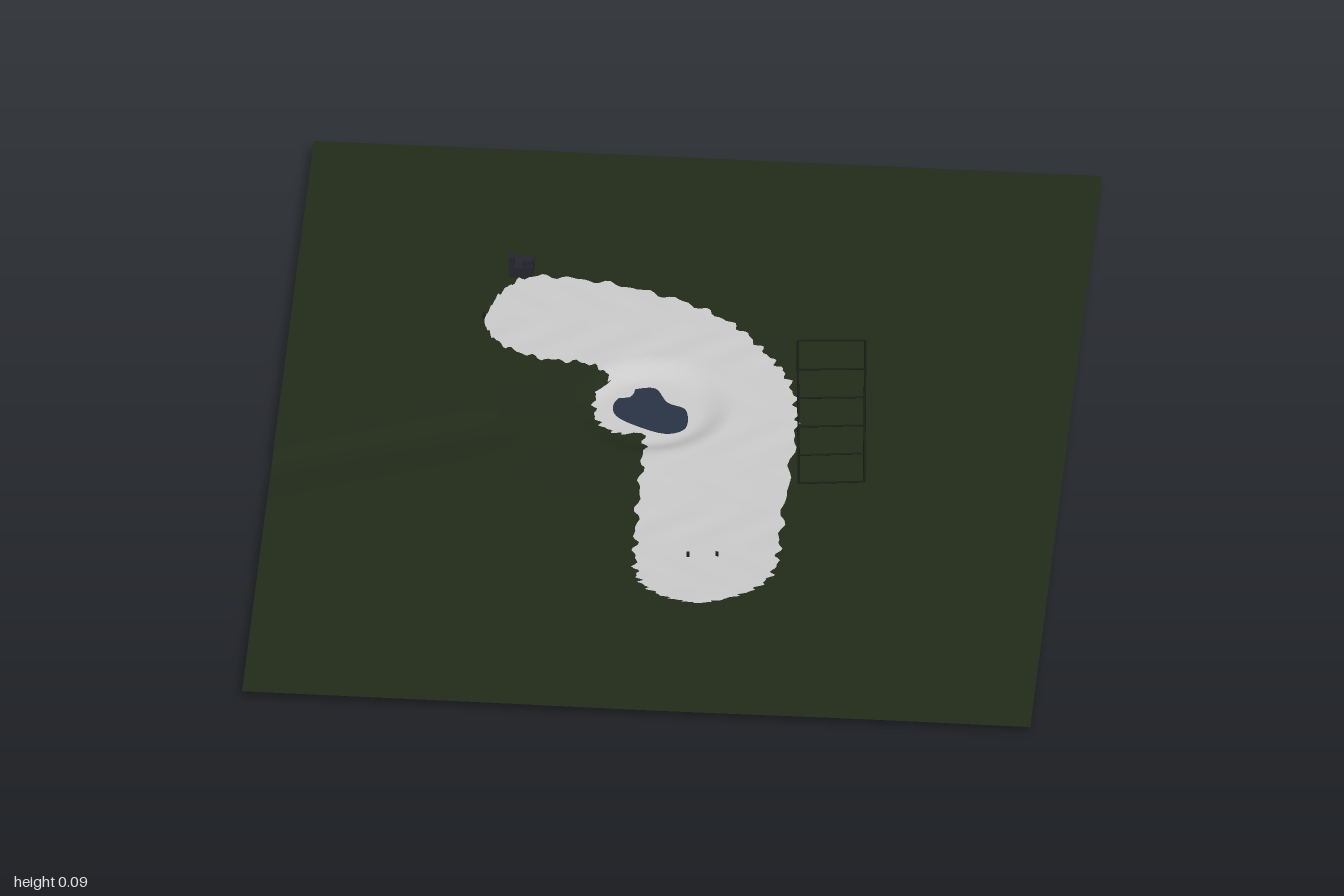
import * as THREE from 'three';

const mat = (color) => new THREE.MeshStandardMaterial({ color, side: THREE.DoubleSide });
const { smoothstep, lerp } = THREE.MathUtils;

// Gentle relief: rises to the back, with a hollow, a pond pit and a ditch to the left edge
function ground(x, z) {
  let h = 0.031 - 0.01 * z - 0.0035 * x;
  h -= 0.016 * Math.exp(-((x - 0.05) ** 2) / 0.12 - ((z - 0.25) ** 2) / 0.25);
  const pond = Math.hypot(x + 0.05, z + 0.105);
  h -= 0.018 * (1 - smoothstep(pond, 0.1, 0.17));
  const ditch = z - (-0.1 - (x + 0.12) * 0.42);
  h -= 0.008 * Math.exp(-(ditch ** 2) / 0.005) * (1 - smoothstep(x, -0.45, -0.2));
  return h + 0.0008 * Math.sin(7 * x + 2 * z) * Math.sin(6 * z - x);
}

const curve = (pts) => new THREE.CatmullRomCurve3(pts.map(([x, z]) => new THREE.Vector3(x, 0, z)), false, 'catmullrom', 0.5);

function addMesh(group, name, geometry, material) {
  const mesh = new THREE.Mesh(geometry, material);
  mesh.name = name;
  group.add(mesh);
  return mesh;
}

// Surface of rows and columns, point(u, v) giving each vertex
function sheet(cols, rows, point) {
  const geo = new THREE.PlaneGeometry(1, 1, cols, rows);
  const pos = geo.attributes.position;
  for (let i = 0; i < pos.count; i++) {
    const p = point((i % (cols + 1)) / cols, Math.floor(i / (cols + 1)) / rows);
    pos.setXYZ(i, p.x, p.y, p.z);
  }
  geo.computeVertexNormals();
  return geo;
}

export function createModel() {
  const group = new THREE.Group();
  const dark = mat(0x1b2118);

  // Grass sheet
  addMesh(group, 'terrain', sheet(110, 134, (u, v) => {
    const x = lerp(-0.82, 0.82, u), z = lerp(-1, 1, v);
    return new THREE.Vector3(x, ground(x, z), z);
  }), mat(0x222b1a));

  // Bent pale clearing between an inner and an outer edge, both slightly ragged
  const inner = curve([[-0.42, -0.37], [-0.385, -0.3], [-0.3, -0.25], [-0.2, -0.24], [-0.145, -0.2],
    [-0.17, -0.15], [-0.16, -0.06], [-0.11, -0.025], [-0.06, -0.02], [-0.055, 0.15], [-0.05, 0.35],
    [-0.04, 0.48], [-0.02, 0.54], [0.03, 0.58], [0.09, 0.6]]);
  const outer = curve([[-0.415, -0.4], [-0.39, -0.48], [-0.33, -0.54], [-0.18, -0.53], [-0.02, -0.48],
    [0.1, -0.4], [0.17, -0.31], [0.22, -0.23], [0.25, -0.12], [0.255, 0], [0.25, 0.3],
    [0.25, 0.45], [0.22, 0.53], [0.16, 0.575], [0.1, 0.6]]);
  const rag = (v, s) => 0.005 * Math.sin(v * 190 + s) + 0.004 * Math.sin(v * 317 + 2 * s);
  addMesh(group, 'clearing', sheet(24, 200, (u, v) => {
    const a = inner.getPoint(v), b = outer.getPoint(v);
    const across = b.clone().sub(a).normalize();
    a.addScaledVector(across, rag(v, 1));
    b.addScaledVector(across, rag(v, 4));
    const p = a.lerp(b, u);
    p.y = ground(p.x, p.z) + 0.004 + 0.0006 * Math.sin(p.x * 45 + 3 * Math.sin(p.z * 20));
    return p;
  }), mat(0xcccccc));

  // Pond
  const rim = [[-0.1, -0.18], [-0.05, -0.19], [-0.02, -0.14], [0.02, -0.115], [0.025, -0.05],
    [-0.01, -0.025], [-0.06, -0.04], [-0.12, -0.08], [-0.13, -0.13]];
  const outline = new THREE.SplineCurve([...rim, rim[0]].map(([x, z]) => new THREE.Vector2(x, -z)));
  const water = new THREE.ShapeGeometry(new THREE.Shape(outline.getPoints(60)));
  water.rotateX(-Math.PI / 2);
  addMesh(group, 'pond', water, mat(0x2a3446)).position.y = 0.013;

  // Low ladder-like frame lying on the grass
  const frame = new THREE.Group();
  frame.name = 'frame';
  group.add(frame);
  const bar = (name, x0, z0, x1, z1) => {
    const pts = [];
    for (let i = 0; i <= 10; i++) {
      const x = lerp(x0, x1, i / 10), z = lerp(z0, z1, i / 10);
      pts.push(new THREE.Vector3(x, ground(x, z) + 0.004, z));
    }
    addMesh(frame, name, new THREE.TubeGeometry(new THREE.CatmullRomCurve3(pts), 20, 0.0025, 4), dark);
  };
  bar('rail', 0.235, -0.355, 0.275, 0.15);
  bar('rail', 0.375, -0.365, 0.41, 0.14);
  for (let i = 0; i <= 5; i++) {
    const t = i / 5;
    bar('rung', lerp(0.235, 0.275, t), lerp(-0.355, 0.15, t), lerp(0.375, 0.41, t), lerp(-0.365, 0.14, t));
  }

  // Small dark shelter at the far end, with two uneven uprights
  const stone = mat(0x25272e);
  const shelter = new THREE.Group();
  shelter.name = 'shelter';
  shelter.position.set(-0.355, ground(-0.355, -0.56), -0.56);
  group.add(shelter);
  const block = (name, w, h, d, x, y, z) =>
    addMesh(shelter, name, new THREE.BoxGeometry(w, h, d), stone).position.set(x, y, z);
  block('body', 0.05, 0.026, 0.045, 0, 0.013, 0);
  block('tallUpright', 0.012, 0.05, 0.014, -0.019, 0.025, 0.014);
  block('shortUpright', 0.022, 0.04, 0.022, 0.013, 0.02, 0.008);

  // Small markers at both ends of the clearing
  for (const [x, z] of [[0.065, 0.425], [0.125, 0.42], [-0.42, -0.39]]) {
    const marker = addMesh(group, 'marker', new THREE.BoxGeometry(0.006, 0.014, 0.006), dark);
    marker.position.set(x, ground(x, z) + 0.006, z);
  }

  // Stand on y = 0
  const low = new THREE.Box3().setFromObject(group).min.y;
  for (const part of group.children) part.position.y -= low;
  return group;
}
